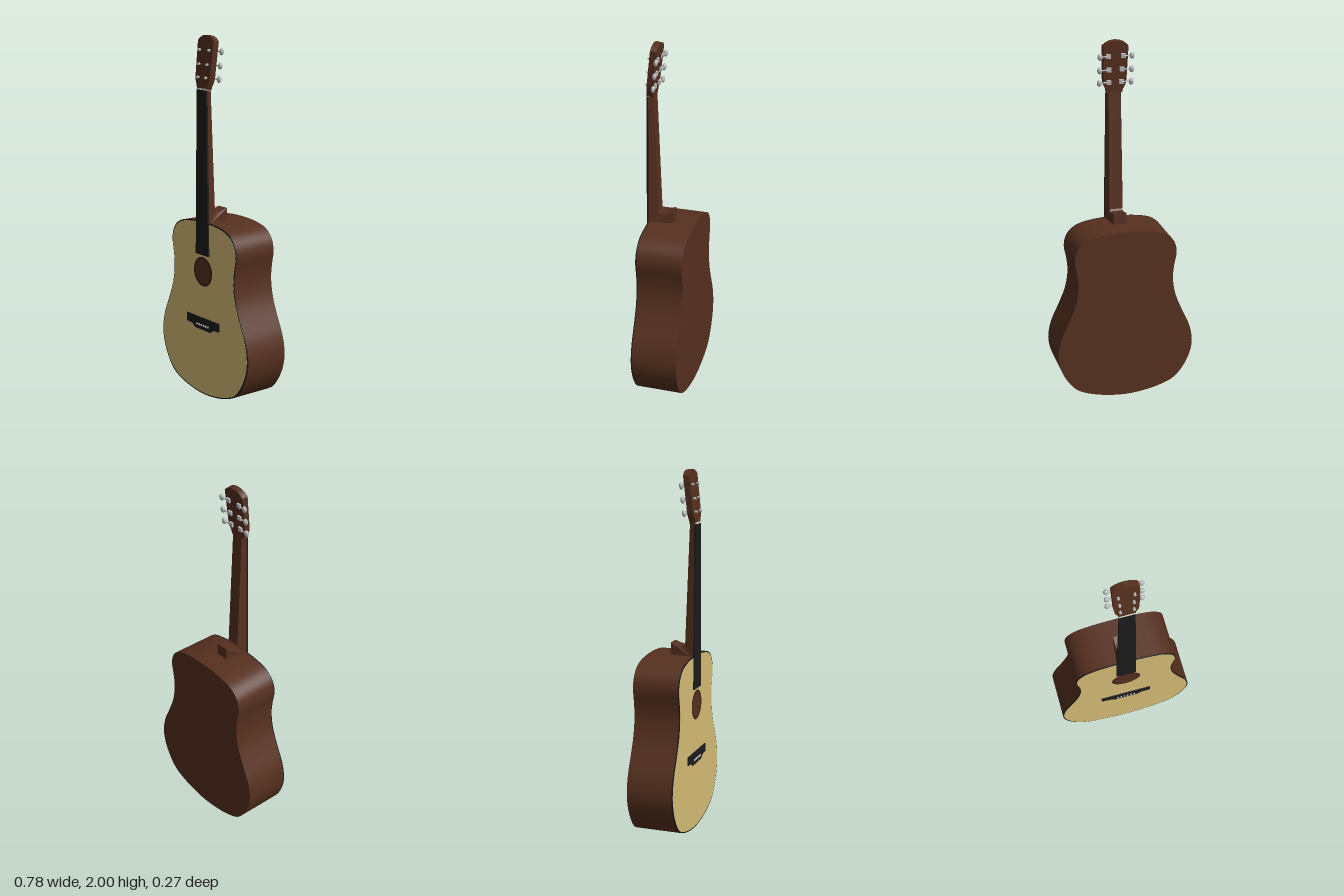
import * as THREE from 'three';
import { toCreasedNormals } from 'three/addons/utils/BufferGeometryUtils.js';

const paint = (color) => new THREE.MeshStandardMaterial({ color });
const V = (pairs) => pairs.map(([x, y]) => new THREE.Vector2(x, y));
const mirrored = (half) => V([...half, ...half.filter((p) => p[0] > 0).reverse().map(([x, y]) => [-x, y])]);

export function createModel() {
  const model = new THREE.Group();
  const wood = paint(0x56301f), spruce = paint(0xd6bc76), black = paint(0x1c1c1c);
  const rosetteWood = paint(0x40231a), metal = paint(0xb8babb), ivory = paint(0xe0dccb);

  const add = (name, geometry, material, parent = model) => {
    const mesh = new THREE.Mesh(geometry, material);
    mesh.name = name;
    parent.add(mesh);
    return mesh;
  };
  // Flat outline given thickness from z0 to z1
  const slab = (points, z0, z1) => {
    const g = new THREE.ExtrudeGeometry(new THREE.Shape(points), { depth: z1 - z0, bevelEnabled: false });
    return toCreasedNormals(g.translate(0, 0, z0), 0.6);
  };

  // Body outline: right half from bottom to top, mirrored and smoothed
  const outline = mirrored([
    [0, 0], [0.11, 0.01], [0.205, 0.032], [0.285, 0.068], [0.345, 0.14], [0.38, 0.22],
    [0.39, 0.295], [0.372, 0.39], [0.325, 0.495], [0.287, 0.59], [0.27, 0.69], [0.276, 0.77],
    [0.289, 0.85], [0.272, 0.915], [0.225, 0.96], [0.15, 0.983], [0, 0.994],
  ]);
  const curve = new THREE.CatmullRomCurve3(outline.map((p) => new THREE.Vector3(p.x, p.y, 0)), true);
  const edge = curve.getPoints(96).slice(0, -1).map((p) => new THREE.Vector2(p.x, p.y));
  const inset = edge.map((p) => new THREE.Vector2(p.x * 0.984, 0.497 + (p.y - 0.497) * 0.987));
  add('body', slab(edge, -0.135, 0.119), wood);
  add('binding', slab(edge, 0.119, 0.125), black);
  add('soundboard', slab(inset, 0.12, 0.126), spruce);

  // Sound hole and rosette
  add('soundHole', new THREE.CircleGeometry(0.072, 40).translate(0, 0.712, 0.1268), wood);
  add('rosette', new THREE.RingGeometry(0.07, 0.083, 40).translate(0, 0.712, 0.1272), rosetteWood);

  // Bridge with belly and six pins
  add('bridge', slab(mirrored([
    [0, 0.378], [0.07, 0.378], [0.095, 0.397], [0.148, 0.4], [0.148, 0.448], [0, 0.448],
  ]), 0.125, 0.131), black);
  for (let i = 0; i < 6; i++) {
    add('bridgePin', new THREE.SphereGeometry(0.0065, 12, 8).translate((i - 2.5) * 0.02, 0.404, 0.131), metal);
  }

  // Neck and heel: side profile in (z, y), tapered towards the nut and the back
  const profile = V([
    [0.127, 0.98], [0.127, 1.715], [0.097, 1.715], [0.072, 1.055], [0.066, 1.045],
    [0.045, 1.043], [0.02, 1.049], [-0.01, 1.06], [-0.01, 0.98],
  ]);
  const neck = new THREE.ExtrudeGeometry(new THREE.Shape(profile), { depth: 2, bevelEnabled: false })
    .translate(0, 0, -1).rotateY(-Math.PI / 2);
  const pos = neck.attributes.position;
  for (let i = 0; i < pos.count; i++) {
    const y = pos.getY(i), depth = 0.127 - pos.getZ(i);
    const half = 0.054 - 0.013 * (y - 0.98) / 0.735;
    pos.setX(i, Math.sign(pos.getX(i)) * half * (1 - Math.min(0.3, depth * 6)));
  }
  neck.computeVertexNormals();
  add('neck', toCreasedNormals(neck, 0.5), wood);

  // Fretboard and nut
  add('fretboard', slab(mirrored([[0, 0.808], [0.057, 0.808], [0.042, 1.712], [0, 1.712]]), 0.124, 0.134), black);
  add('nut', new THREE.BoxGeometry(0.084, 0.008, 0.036).translate(0, 1.716, 0.117), ivory);

  // Headstock tilted back from the nut
  const head = new THREE.Group();
  head.name = 'headstock';
  head.position.set(0, 1.715, 0.132);
  head.rotation.x = -0.112;
  model.add(head);
  add('headstockPlate', slab(mirrored([
    [0, 0], [0.042, 0], [0.047, 0.02], [0.06, 0.045], [0.064, 0.07], [0.069, 0.258],
    [0.05, 0.274], [0.026, 0.284], [0, 0.287],
  ]), -0.034, 0), wood, head);

  // Tuning machines, three a side
  for (const side of [-1, 1]) {
    for (const [y, x] of [[0.062, 0.035], [0.132, 0.036], [0.207, 0.041]]) {
      const tuner = new THREE.Group();
      tuner.name = 'tuner';
      tuner.position.set(side * x, y, 0);
      head.add(tuner);
      add('post', new THREE.CylinderGeometry(0.007, 0.007, 0.016, 12).rotateX(Math.PI / 2).translate(0, 0, 0.006), metal, tuner);
      add('gearPlate', new THREE.BoxGeometry(0.024, 0.024, 0.012).translate(0, 0, -0.039), metal, tuner);
      const reach = 0.082 - x;
      add('shaft', new THREE.CylinderGeometry(0.004, 0.004, reach, 10).rotateZ(Math.PI / 2)
        .translate(side * reach / 2, 0, -0.043), metal, tuner);
      add('button', new THREE.SphereGeometry(1, 16, 12).scale(0.014, 0.019, 0.011)
        .translate(side * (0.088 - x), 0, -0.043), metal, tuner);
    }
  }
  return model;
}
